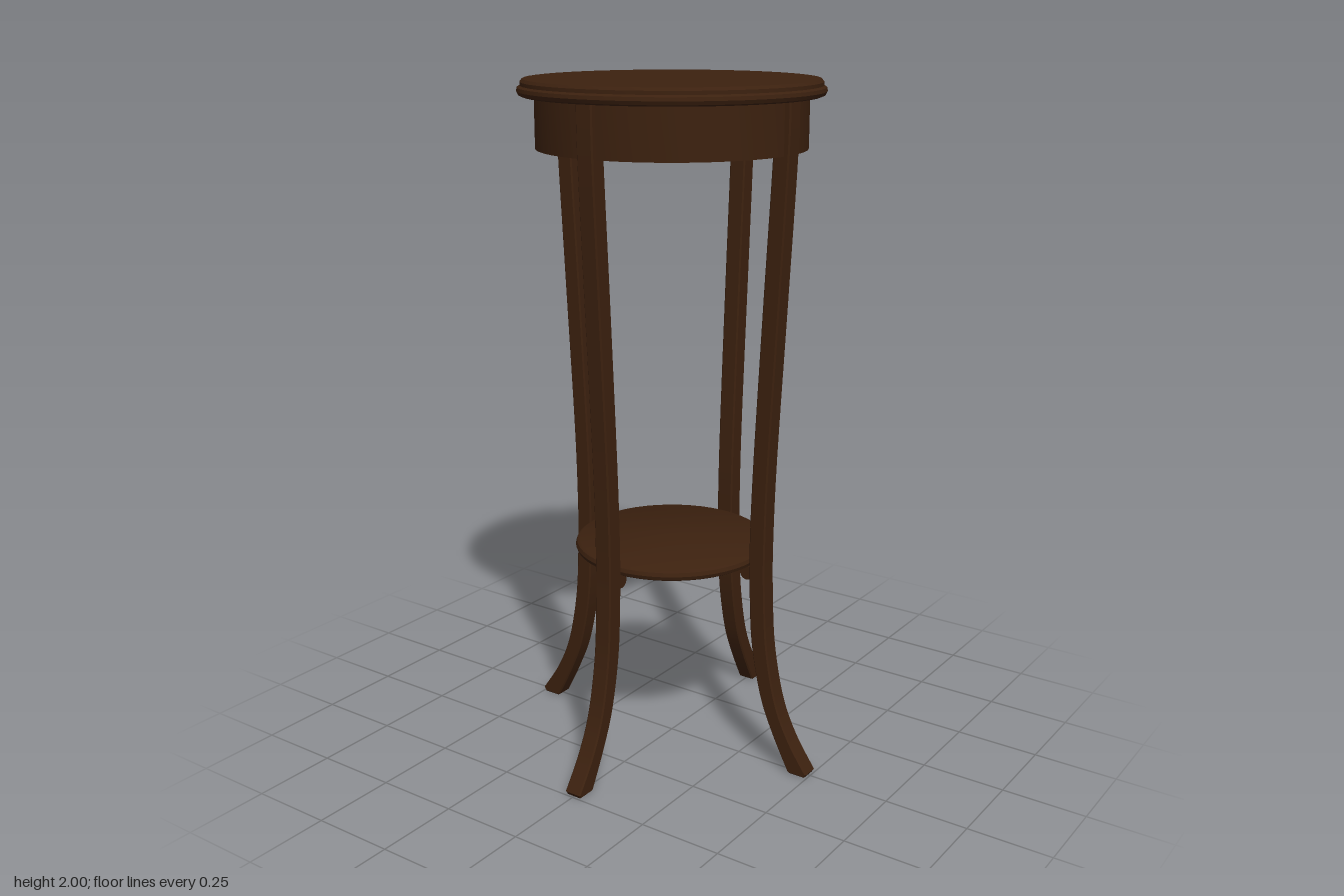
import * as THREE from 'three';
import { toCreasedNormals } from 'three/addons/utils/BufferGeometryUtils.js';

const points = (list) => list.map(([x, y]) => new THREE.Vector2(x, y));

export function createModel() {
  const wood = new THREE.MeshStandardMaterial({ color: 0x3c210f });
  wood.name = 'darkWood';
  const group = new THREE.Group();
  group.name = 'plantStand';

  const add = (name, geometry, parent = group) => {
    const mesh = new THREE.Mesh(geometry, wood);
    mesh.name = name;
    parent.add(mesh);
    return mesh;
  };
  // Round part turned from a profile listed from bottom to top
  const turned = (name, profile) =>
    add(name, toCreasedNormals(new THREE.LatheGeometry(points(profile), 48), 0.6));

  // Round top with a moulded edge
  turned('tableTop', [
    [0, 1.953], [0.415, 1.953], [0.425, 1.957], [0.43, 1.967], [0.428, 1.977],
    [0.42, 1.982], [0.42, 1.992], [0.413, 2], [0, 2],
  ]);

  // Apron with a shallow recess underneath
  turned('apron', [
    [0, 1.83], [0.362, 1.83], [0.362, 1.81], [0.382, 1.81], [0.382, 1.955],
  ]);

  // Lower shelf with a rounded edge
  turned('shelf', [
    [0, 0.617], [0.277, 0.617], [0.286, 0.622], [0.29, 0.633],
    [0.286, 0.644], [0.277, 0.65], [0, 0.65],
  ]);

  // Leg outline: outer edge downwards, foot, inner edge upwards
  const outer = points([
    [0.398, 1.955], [0.395, 1.8], [0.374, 1.4], [0.35, 0.95], [0.343, 0.7],
    [0.345, 0.55], [0.356, 0.38], [0.388, 0.22], [0.435, 0.11], [0.5, 0.012],
  ]);
  const inner = points([
    [0.435, 0.004], [0.381, 0.11], [0.337, 0.22], [0.304, 0.38], [0.293, 0.55],
    [0.291, 0.7], [0.299, 0.95], [0.322, 1.4], [0.344, 1.8], [0.347, 1.955],
  ]);
  const outline = new THREE.Shape();
  outline.moveTo(outer[0].x, outer[0].y);
  outline.splineThru(outer.slice(1));
  outline.lineTo(0.492, 0);
  outline.lineTo(0.441, 0);
  outline.lineTo(inner[0].x, inner[0].y);
  outline.splineThru(inner.slice(1));
  outline.closePath();

  const bevel = 0.004;
  const width = 0.053;
  const extruded = new THREE.ExtrudeGeometry(outline, {
    depth: width - 2 * bevel, curveSegments: 32, bevelEnabled: true,
    bevelThickness: bevel, bevelSize: bevel, bevelOffset: -bevel, bevelSegments: 1,
  });
  extruded.translate(0, 0, bevel - width / 2);
  const legGeometry = toCreasedNormals(extruded, 0.5);

  // Small rounded block holding the shelf to each leg
  const supportGeometry = toCreasedNormals(
    new THREE.CylinderGeometry(0.022, 0.022, 0.04, 20).rotateX(Math.PI / 2), 0.6);

  ['left', 'back', 'right', 'front'].forEach((side, i) => {
    const assembly = new THREE.Group();
    assembly.name = side + 'LegAssembly';
    assembly.rotation.y = i * Math.PI / 2;
    add(side + 'Leg', legGeometry, assembly);
    add(side + 'ShelfSupport', supportGeometry, assembly).position.set(0.279, 0.602, 0);
    group.add(assembly);
  });

  return group;
}
